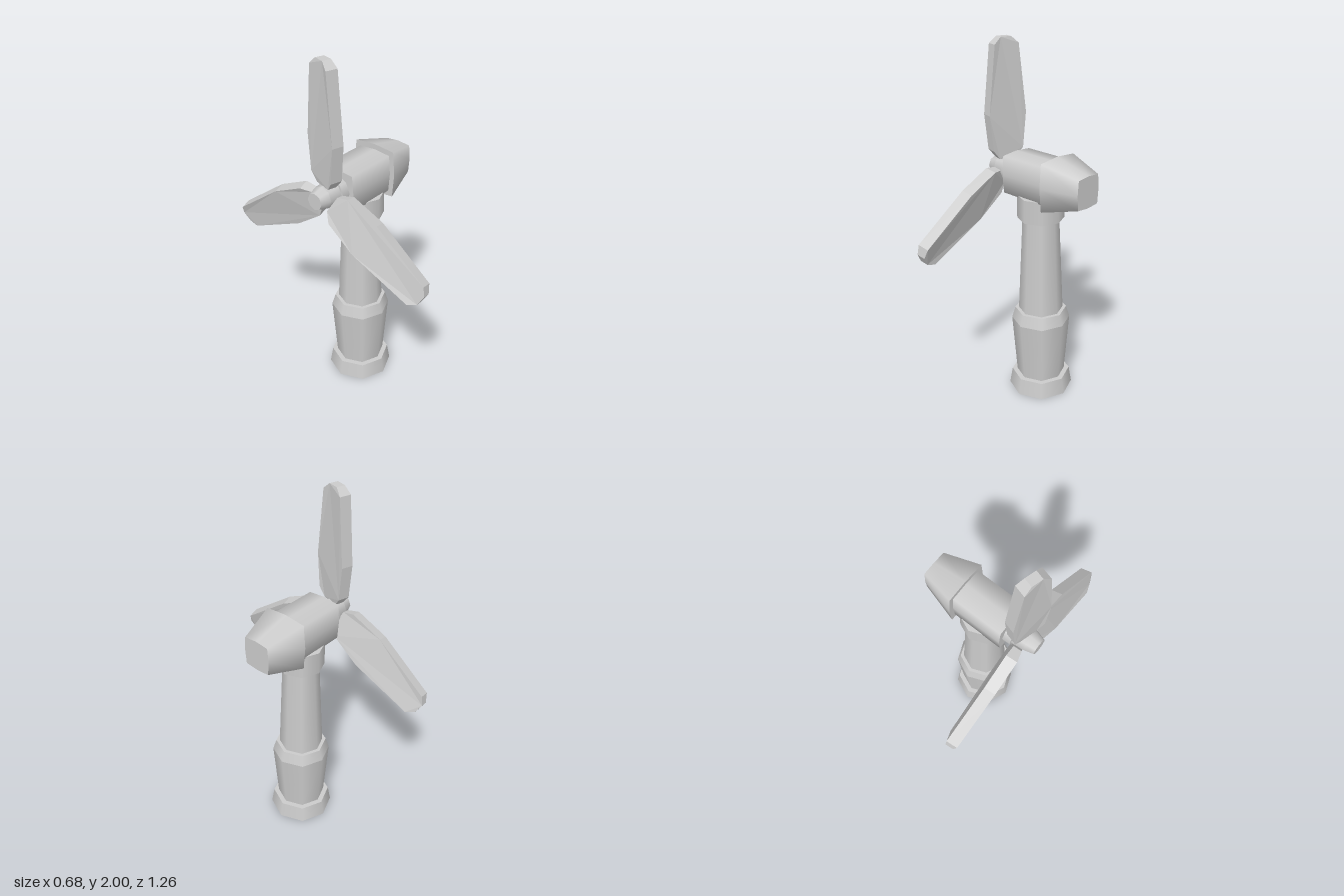
import * as THREE from 'three';

const AXIS_Y = 1.295; // height of the rotor axis
const TOWER_X = 0.012;
const ROTOR_X = -0.25;
const material = new THREE.MeshStandardMaterial({ color: 0xcccccc });

function add(parent, name, geometry) {
  const mesh = new THREE.Mesh(geometry, material);
  mesh.name = name;
  parent.add(mesh);
  return mesh;
}

// Upright eight-sided tower section
function towerSection(parent, name, y0, y1, r0, r1) {
  const mesh = add(parent, name, new THREE.CylinderGeometry(r1, r0, y1 - y0, 8));
  mesh.position.set(TOWER_X, (y0 + y1) / 2, 0);
}

// Section lying along x; square > 1 pushes the four diagonal corners outward
function axialSection(parent, name, x0, x1, r0, r1, square = 1, depth = 1) {
  const geometry = new THREE.CylinderGeometry(r1, r0, x1 - x0, 8);
  const p = geometry.attributes.position;
  for (let i = 0; i < p.count; i++) {
    const x = p.getX(i), z = p.getZ(i);
    const k = Math.abs(x * z) > 1e-5 ? square : 1;
    p.setXYZ(i, x * k, p.getY(i), z * k * depth);
  }
  geometry.rotateZ(-Math.PI / 2);
  const mesh = add(parent, name, geometry);
  mesh.position.set((x0 + x1) / 2, AXIS_Y, 0);
}

// Flat tapered blade, pitched about its own length
function bladeGeometry() {
  const outline = [
    [-0.05, 0.06], [0.05, 0.06], [0.09, 0.11], [0.11, 0.305],
    [0.07, 0.67], [0.03, 0.705], [-0.03, 0.705], [-0.07, 0.67],
    [-0.11, 0.305], [-0.09, 0.11],
  ].map(([x, y]) => new THREE.Vector2(x, y));
  const thickness = 0.064;
  const geometry = new THREE.ExtrudeGeometry(new THREE.Shape(outline), {
    depth: thickness, bevelEnabled: false,
  });
  geometry.translate(0, 0, -thickness / 2);
  // Thin the root and the tip slightly
  const p = geometry.attributes.position;
  for (let i = 0; i < p.count; i++) {
    const y = p.getY(i);
    if (y > 0.69 || y < 0.07) p.setZ(i, p.getZ(i) * 0.75);
  }
  geometry.computeVertexNormals();
  geometry.rotateY(Math.PI / 2 - 0.27);
  return geometry;
}

export function createModel() {
  const model = new THREE.Group();
  model.name = 'windTurbine';

  // Tower
  const tower = new THREE.Group();
  tower.name = 'tower';
  model.add(tower);
  towerSection(tower, 'foot', 0, 0.095, 0.183, 0.167);
  towerSection(tower, 'lowerTower', 0.095, 0.45, 0.138, 0.165);
  towerSection(tower, 'lowerTowerShoulder', 0.45, 0.515, 0.165, 0.145);
  towerSection(tower, 'shaft', 0.515, 1.07, 0.125, 0.1);
  towerSection(tower, 'collar', 1.07, 1.2, 0.128, 0.128);

  // Nacelle
  const nacelle = new THREE.Group();
  nacelle.name = 'nacelle';
  model.add(nacelle);
  axialSection(nacelle, 'nacelleBody', -0.17, 0.13, 0.112, 0.112, 1.3, 0.95);
  axialSection(nacelle, 'tailCone', 0.127, 0.335, 0.142, 0.086, 1.3, 0.95);
  axialSection(nacelle, 'rotorShaft', -0.215, -0.17, 0.08, 0.082);

  // Rotor
  const rotor = new THREE.Group();
  rotor.name = 'rotor';
  model.add(rotor);
  axialSection(rotor, 'hub', -0.285, -0.2, 0.062, 0.07);
  axialSection(rotor, 'hubNose', -0.34, -0.285, 0.046, 0.062);
  const geometry = bladeGeometry();
  for (let i = 0; i < 3; i++) {
    const blade = add(rotor, 'blade', geometry);
    blade.position.set(ROTOR_X, AXIS_Y, 0);
    blade.rotation.x = (i * Math.PI * 2) / 3;
  }
  return model;
}
